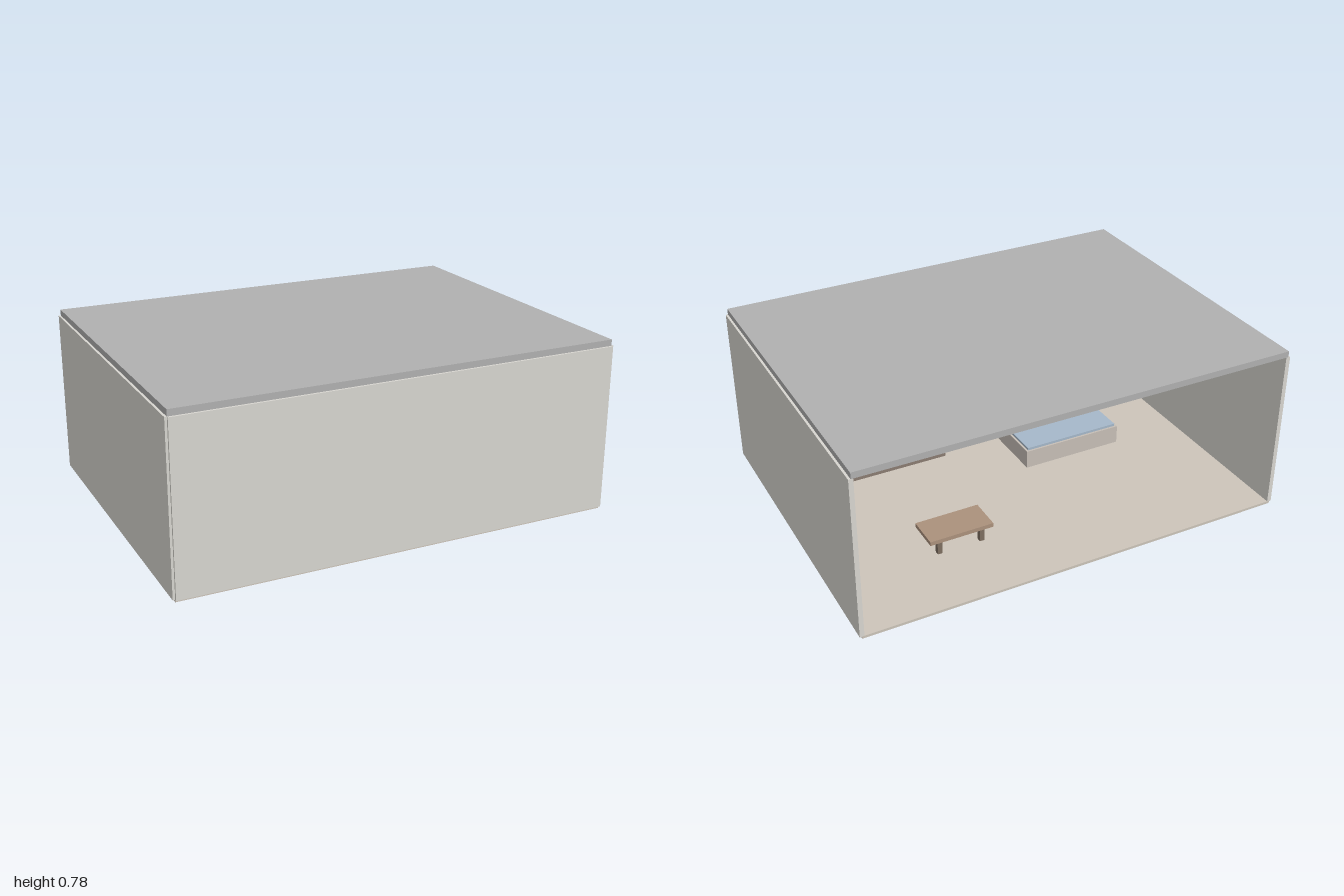
import * as THREE from 'three';

// Axis-aligned box given by its extents on each axis
function block(parent, name, color, [x0, x1], [y0, y1], [z0, z1]) {
  const mesh = new THREE.Mesh(
    new THREE.BoxGeometry(x1 - x0, y1 - y0, z1 - z0),
    new THREE.MeshStandardMaterial({ color })
  );
  mesh.name = name;
  mesh.position.set((x0 + x1) / 2, (y0 + y1) / 2, (z0 + z1) / 2);
  parent.add(mesh);
  return mesh;
}

function subgroup(parent, name) {
  const group = new THREE.Group();
  group.name = name;
  parent.add(group);
  return group;
}

export function createModel() {
  const model = new THREE.Group();
  model.name = 'furnishedRoom';

  const WALL = 0xd8d6d0, FLOOR = 0xcdc5ba, ROOF = 0xb0b0b0;
  const back = -0.7475, front = 0.7475, ground = 0.01;
  const depth = [back, 0.7376];

  // Room shell, open at the back
  const shell = subgroup(model, 'shell');
  block(shell, 'floor', FLOOR, [-0.99, 0.99], [0, 0.012], depth);
  block(shell, 'roof', ROOF, [-0.99, 0.99], [0.752, 0.78], depth);
  block(shell, 'frontWall', WALL, [-0.99, 0.99], [ground, 0.752], [0.7277, front]);
  block(shell, 'leftWall', WALL, [0.98, 1], [ground, 0.752], depth);
  block(shell, 'rightWall', WALL, [-1, -0.98], [ground, 0.752], depth);

  // Low cabinet set against the front wall
  block(model, 'cabinet', 0x666666, [-0.297, 0.297], [ground, 0.158], [0.629, front - 0.001]);

  // Bench sofa
  block(model, 'sofa', 0x8a7c72, [0.148, 0.643], [ground, 0.13], [0.267, 0.515]);

  // Bed: base and mattress
  const bed = subgroup(model, 'bed');
  block(bed, 'bedBase', 0xc6beb6, [-0.643, -0.148], [ground, 0.1], [-0.004, 0.589]);
  block(bed, 'mattress', 0xa6b8ca, [-0.633, -0.158], [0.1, 0.112], [0.006, 0.579]);

  // Low table with four legs
  const table = subgroup(model, 'table');
  const cx = 0.396, cz = -0.347;
  block(table, 'tableTop', 0xab917c, [cx - 0.149, cx + 0.149], [0.077, 0.096], [cz - 0.077, cz + 0.077]);
  for (const sx of [-1, 1]) {
    for (const sz of [-1, 1]) {
      const x = cx + sx * 0.1, z = cz + sz * 0.055;
      block(table, 'tableLeg', 0x7d6e60, [x - 0.011, x + 0.011], [ground, 0.078], [z - 0.011, z + 0.011]);
    }
  }

  return model;
}
